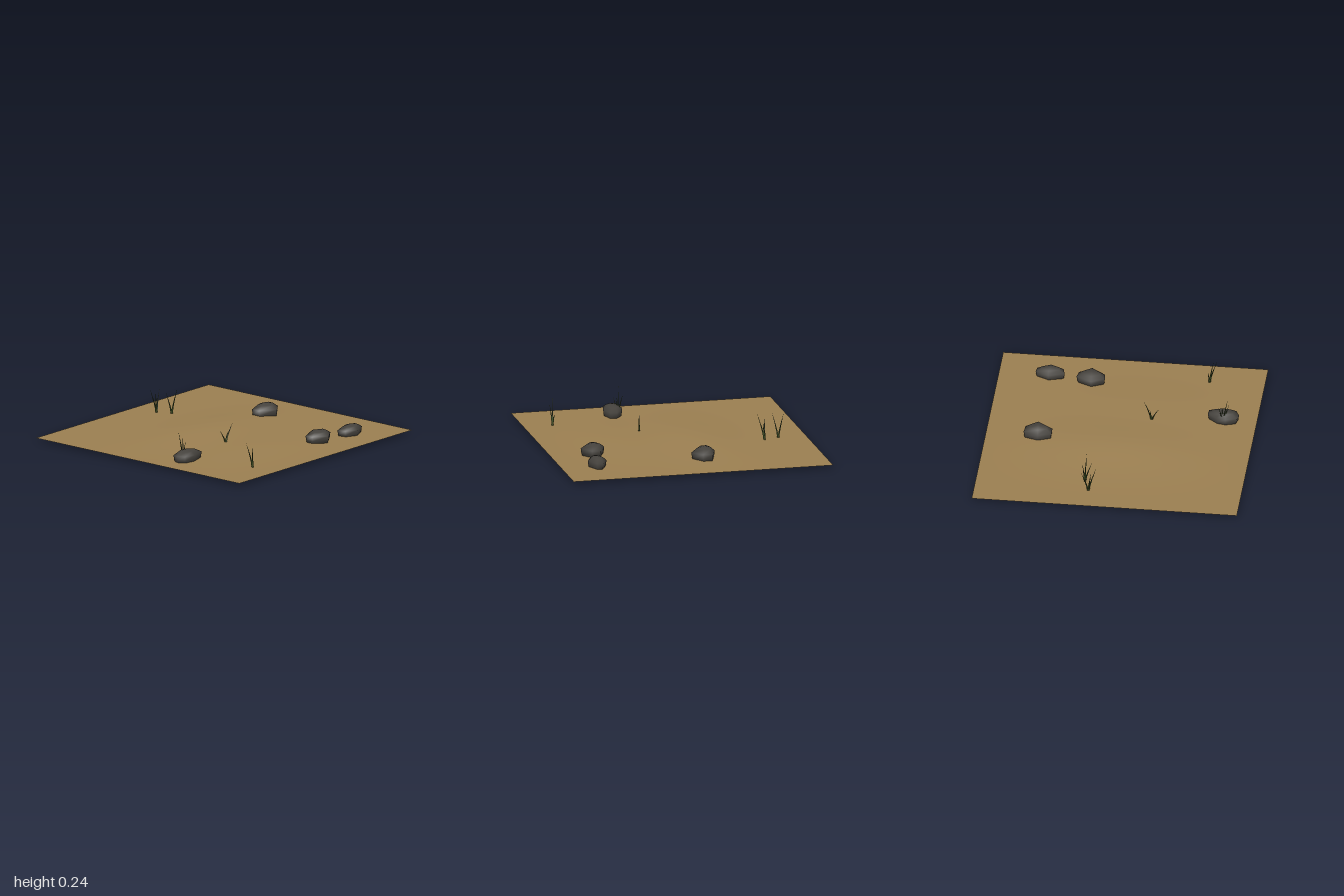
import * as THREE from 'three';

const sand = new THREE.MeshStandardMaterial({ color: 0x9b7f51, side: THREE.DoubleSide });
sand.name = 'sand';
const stone = new THREE.MeshStandardMaterial({ color: 0x45423d });
stone.name = 'stone';
const green = new THREE.MeshStandardMaterial({ color: 0x3a4a22, side: THREE.DoubleSide });
green.name = 'grass green';

// Height of the soil: one broad ridge and a lower swell, flat at the rim
function soilHeight(x, z) {
  const bump = (cx, cz, sx, sz) => Math.exp(-(((x - cx) / sx) ** 2) - ((z - cz) / sz) ** 2);
  const rim = (1 - x ** 6) * (1 - z ** 6);
  return 0.024 + rim * (0.036 * bump(0.02, -0.15, 0.6, 0.32) + 0.018 * bump(-0.1, 0.42, 0.55, 0.28));
}

function makeGround() {
  const geo = new THREE.PlaneGeometry(2, 2, 32, 32).rotateX(-Math.PI / 2);
  const p = geo.attributes.position;
  for (let i = 0; i < p.count; i++) p.setY(i, soilHeight(p.getX(i), p.getZ(i)));
  geo.computeVertexNormals();
  const mesh = new THREE.Mesh(geo, sand);
  mesh.name = 'ground';
  return mesh;
}

// Rock: its plan outline scaled at a few levels, closed by a point above and below
const levels = [[0.06, 0.82], [0.34, 0.95], [0.66, 1], [0.88, 0.62]];
function makeRock({ outline, bottom, top }) {
  const n = outline.length;
  const cx = outline.reduce((s, q) => s + q[0], 0) / n;
  const cz = outline.reduce((s, q) => s + q[1], 0) / n;
  const pos = [];
  const index = [];
  for (const [t, s] of levels)
    for (const [x, z] of outline)
      pos.push(cx + (x - cx) * s, bottom + (top - bottom) * t, cz + (z - cz) * s);
  const low = levels.length * n;
  const high = low + 1;
  pos.push(cx, bottom, cz, cx, top, cz);
  for (let i = 0; i < n; i++) {
    const k = (i + 1) % n;
    for (let j = 0; j < levels.length - 1; j++) {
      const a = j * n + i, b = j * n + k, c = a + n, d = b + n;
      index.push(a, c, b, b, c, d);
    }
    const last = (levels.length - 1) * n;
    index.push(low, i, k, high, last + k, last + i);
  }
  const geo = new THREE.BufferGeometry();
  geo.setAttribute('position', new THREE.Float32BufferAttribute(pos, 3));
  geo.setIndex(index);
  geo.computeVertexNormals();
  const mesh = new THREE.Mesh(geo, stone);
  mesh.name = 'rock';
  return mesh;
}

// Blade: a thin three-sided spike bending outward to its tip
function makeBlade([bx, bz], [tx, ty, tz]) {
  const base = soilHeight(bx, bz) - 0.006;
  const geo = new THREE.CylinderGeometry(0.0005, 0.0085, 1, 3, 4).translate(0, 0.5, 0);
  const p = geo.attributes.position;
  for (let i = 0; i < p.count; i++) {
    const t = p.getY(i);
    const bend = t ** 1.25;
    p.setXYZ(i, bx + p.getX(i) + (tx - bx) * bend, base + (ty - base) * t, bz + p.getZ(i) + (tz - bz) * bend);
  }
  geo.computeVertexNormals();
  const mesh = new THREE.Mesh(geo, green);
  mesh.name = 'blade';
  return mesh;
}

const rocks = [
  { bottom: 0, top: 0.128, outline: [[0.5, -0.15], [0.6, -0.183], [0.71, -0.145], [0.705, -0.07], [0.615, 0], [0.5, -0.08]] },
  { bottom: 0.008, top: 0.12, outline: [[0.19, 0.64], [0.29, 0.593], [0.405, 0.65], [0.395, 0.71], [0.3, 0.777], [0.197, 0.7]] },
  { bottom: 0, top: 0.106, outline: [[0.5, 0.69], [0.62, 0.656], [0.72, 0.705], [0.712, 0.75], [0.61, 0.797], [0.515, 0.755]] },
  { bottom: 0.004, top: 0.115, outline: [[-0.865, 0.275], [-0.855, 0.23], [-0.77, 0.202], [-0.7, 0.215], [-0.63, 0.27], [-0.635, 0.32], [-0.745, 0.35], [-0.84, 0.33]] },
];

// Each tuft: a root (x, z) and the tips of its blades (x, y, z)
const tufts = [
  { root: [0.145, -0.785], tips: [[0.09, 0.2, -0.75], [0.2, 0.19, -0.805], [0.12, 0.2, -0.83]] },
  { root: [0.185, -0.67], tips: [[0.13, 0.2, -0.682], [0.178, 0.23, -0.612], [0.207, 0.17, -0.65]] },
  { root: [-0.75, 0.235], tips: [[-0.785, 0.24, 0.22], [-0.717, 0.19, 0.205], [-0.79, 0.17, 0.265], [-0.74, 0.16, 0.25]] },
  { root: [-0.583, 0.778], tips: [[-0.642, 0.22, 0.763], [-0.61, 0.19, 0.797], [-0.572, 0.12, 0.765]] },
  { root: [-0.215, 0.2], tips: [[-0.273, 0.147, 0.186], [-0.155, 0.185, 0.217], [-0.2, 0.12, 0.205]] },
];

export function createModel() {
  const model = new THREE.Group();
  model.name = 'rocky ground patch';
  model.add(makeGround());
  for (const r of rocks) model.add(makeRock(r));
  for (const { root, tips } of tufts) {
    const tuft = new THREE.Group();
    tuft.name = 'grassTuft';
    for (const tip of tips) tuft.add(makeBlade(root, tip));
    model.add(tuft);
  }
  return model;
}
